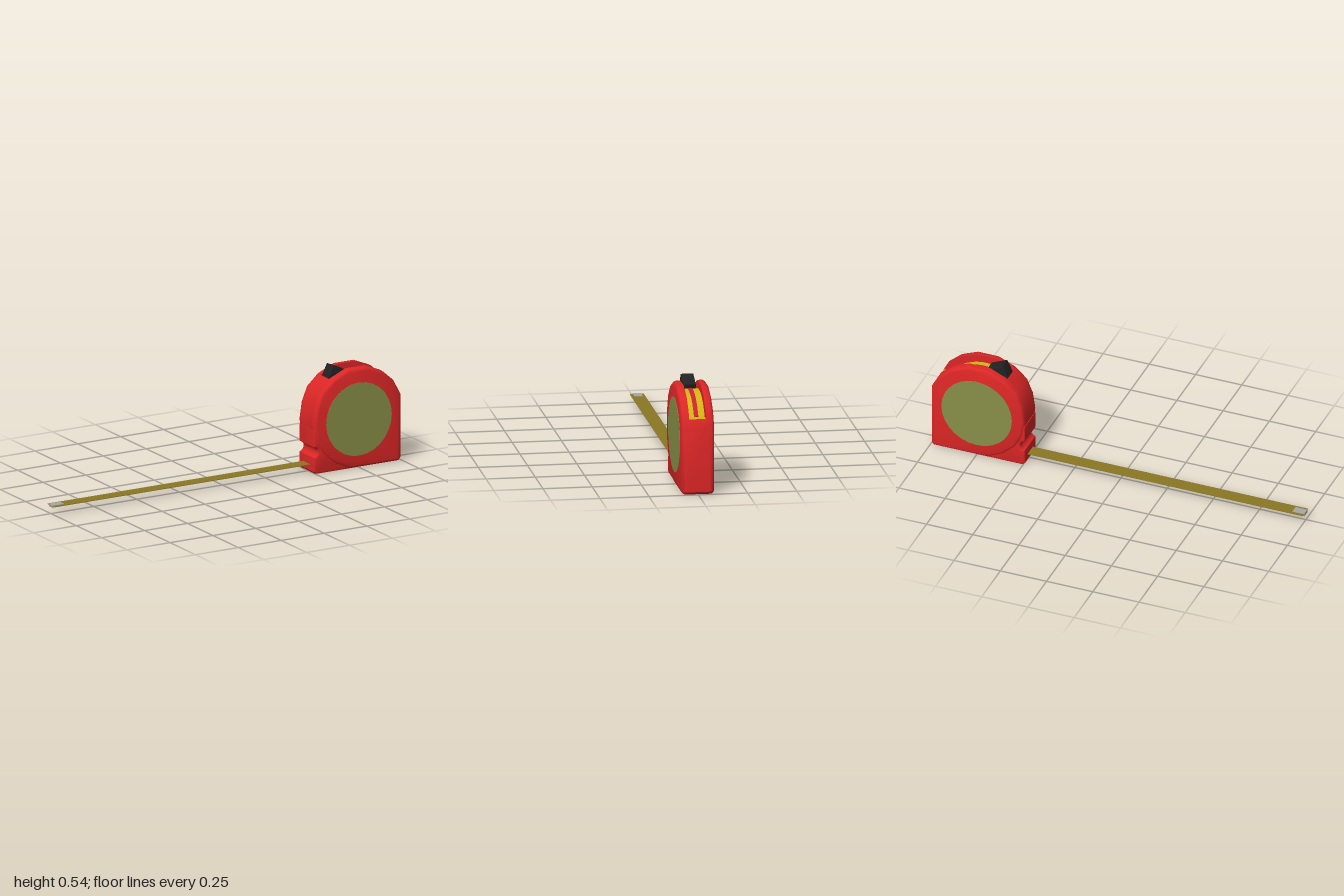
import * as THREE from 'three';
import { toCreasedNormals } from 'three/addons/utils/BufferGeometryUtils.js';

const CX = 0.745, CY = 0.26;   // centre of the round case
const SLOT = 0.043;            // half width of the top slot
const R = 0.222;               // radius of the wound tape

const mat = (name, color, extra = {}) => {
  const m = new THREE.MeshStandardMaterial({ color, ...extra });
  m.name = name;
  return m;
};

// Case outline, counterclockwise from the lower right
const outline = [
  [0.985, 0], [0.996, 0.013], [0.996, 0.35], [0.955, 0.425], [0.89, 0.482], [0.803, 0.518],
  [0.69, 0.518], [0.6, 0.478], [0.536, 0.42], [0.504, 0.343], [0.491, 0.255], [0.502, 0.175],
  [0.54, 0.1], [0.61, 0.04], [0.69, 0.002], [0.71, 0],
];

// Convex outline swept through [z, scale] rings in rising z, closed at both ends
function loft(points, rings) {
  const v = [], n = points.length;
  const at = ([z, s], i) => {
    const [x, y] = points[i % n];
    return [CX + (x - CX) * s, CY + (y - CY) * s, z];
  };
  for (let k = 0; k < rings.length - 1; k++) {
    for (let i = 0; i < n; i++) {
      const a = at(rings[k], i), b = at(rings[k], i + 1);
      const c = at(rings[k + 1], i + 1), d = at(rings[k + 1], i);
      v.push(...a, ...b, ...c, ...a, ...c, ...d);
    }
  }
  const first = rings[0], last = rings[rings.length - 1];
  for (let i = 1; i < n - 1; i++) {
    v.push(...at(last, 0), ...at(last, i), ...at(last, i + 1));
    v.push(...at(first, 0), ...at(first, i + 1), ...at(first, i));
  }
  const g = new THREE.BufferGeometry();
  g.setAttribute('position', new THREE.Float32BufferAttribute(v, 3));
  return toCreasedNormals(g, 0.65);
}

// Side profile extruded symmetrically about z = 0
function slab(points, halfDepth, bevel = 0) {
  const shape = new THREE.Shape(points.map(([x, y]) => new THREE.Vector2(x, y)));
  const g = new THREE.ExtrudeGeometry(shape, {
    depth: 2 * (halfDepth - bevel), bevelEnabled: bevel > 0,
    bevelSize: bevel, bevelThickness: bevel, bevelOffset: -bevel, bevelSegments: 3,
  });
  g.translate(0, 0, bevel - halfDepth);
  return toCreasedNormals(g, 0.65);
}

const arc = (x, y, r, from, to, steps) => Array.from({ length: steps + 1 }, (_, i) => {
  const t = from + (to - from) * i / steps;
  return [x + r * Math.cos(t), y + r * Math.sin(t)];
});

export function createModel() {
  const red = mat('case red', 0xdc2626);
  const crimson = mat('stripe red', 0xcc2233);
  const yellow = mat('yellow', 0xd6b412);
  const olive = mat('label olive', 0x888f47);
  const brass = mat('blade ochre', 0x8a7823);
  const black = mat('button black', 0x222222);
  const steel = mat('hook grey', 0xa8a8a8);

  const model = new THREE.Group();
  model.name = 'tapeMeasure';
  const add = (name, geometry, material, x = 0, y = 0, z = 0) => {
    const mesh = new THREE.Mesh(geometry, material);
    mesh.name = name;
    mesh.position.set(x, y, z);
    model.add(mesh);
    return mesh;
  };

  // Rounded case halves on both sides of the slot
  const rings = [[SLOT, 1], [0.067, 1], [0.075, 0.988], [0.081, 0.966], [0.083, 0.94]];
  add('frontShell', loft(outline, rings), red);
  add('backShell', loft(outline, rings.map(([z, s]) => [-z, s]).reverse()), red);

  // Middle of the case, open at the top
  const slotLeft = [0.597, 0.476], slotRight = [0.996, 0.385];
  const lower = [slotLeft, ...outline.slice(8), outline[0], outline[1]];
  // the slot's end wall meets the straight back edge of the case
  add('caseCore', slab([...lower, [0.996, 0.35], [0.977, 0.3845], [CX, CY], [0.597, 0.42]], SLOT), red);

  // Wound tape seen in the slot, with its ledge and centre stripe
  const a0 = Math.asin((slotRight[1] - CY) / R), a1 = Math.acos((slotLeft[0] - CX) / R);
  add('woundTape', slab([[CX, CY], [0.977, 0.385], ...arc(CX, CY, R, a0, a1, 14)], SLOT), yellow);
  add('tapeStripe', slab([
    ...arc(CX, CY, R + 0.003, a0, a1, 14), ...arc(CX, CY, R - 0.003, a1, a0, 14),
  ], 0.011), crimson);

  // Foot with the finger notch by the tape mouth
  add('foot', slab([
    [0.503, 0], [0.74, 0], [0.74, 0.23], [0.491, 0.23], [0.491, 0.15],
    ...arc(0.487, 0.113, 0.028, 1.4, -1.4, 8), [0.491, 0.077], [0.491, 0.012],
  ], 0.076, 0.008), red);

  // Round labels on both faces
  for (const side of [1, -1]) {
    const label = add(side > 0 ? 'frontLabel' : 'backLabel',
      new THREE.CylinderGeometry(0.191, 0.191, 0.004, 28), olive, 0.747, 0.254, side * 0.0827);
    label.rotation.x = Math.PI / 2;
  }

  // Lock button
  add('lockButton', slab([
    [0.597, 0.472], [0.62, 0.425], [0.70, 0.455], [0.711, 0.5], [0.628, 0.537],
  ], 0.033, 0.003), black);

  // Blade and end hook
  add('blade', new THREE.BoxGeometry(1.52, 0.003, 0.07), brass, -0.238, 0.0425, 0);
  add('hookPlate', new THREE.BoxGeometry(0.064, 0.003, 0.042), steel, -0.968, 0.0455, 0);
  add('hookLip', new THREE.BoxGeometry(0.003, 0.014, 0.042), steel, -0.9985, 0.04, 0);

  return model;
}
